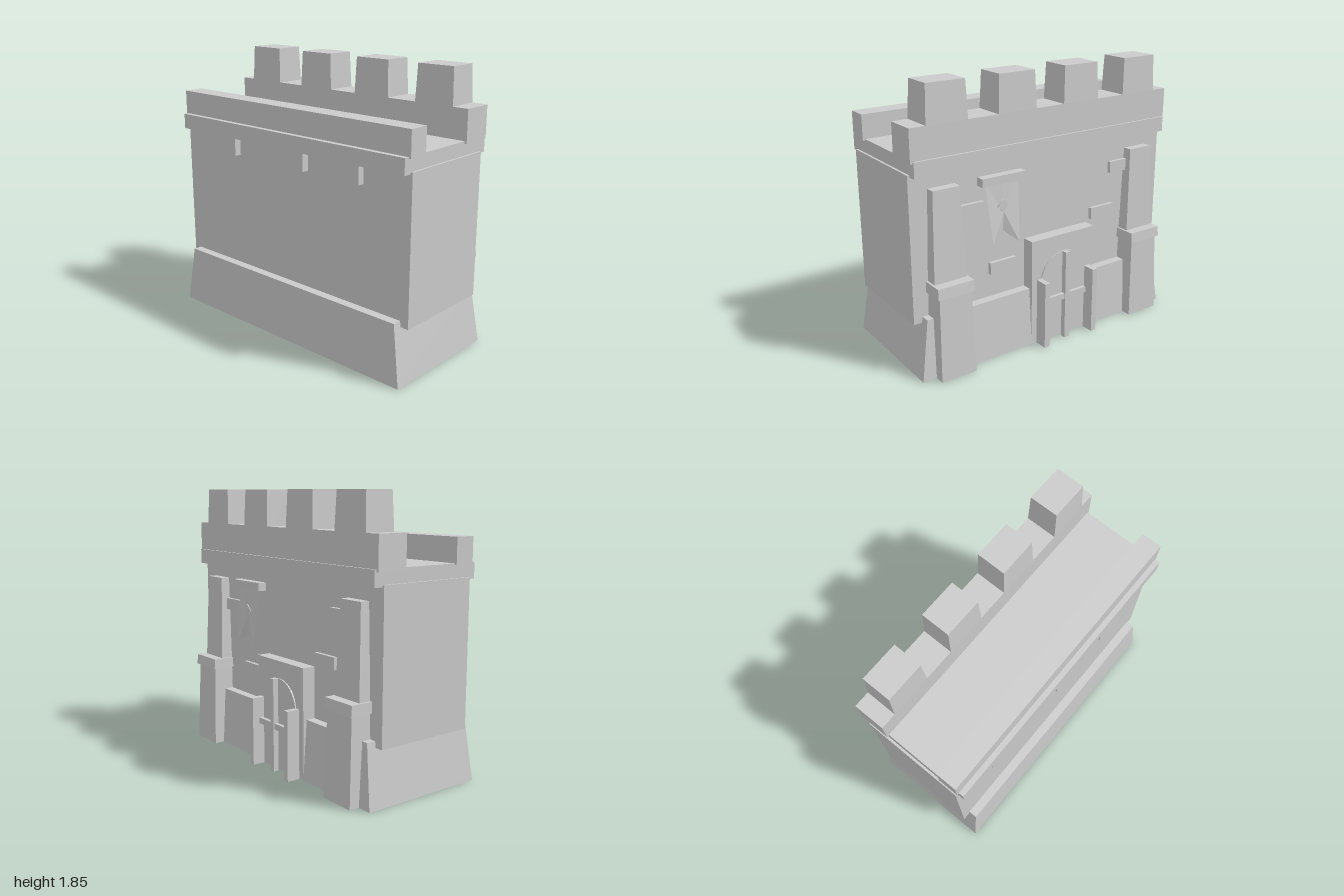
import * as THREE from 'three';

const stone = new THREE.MeshStandardMaterial({ color: 0xcacaca, side: THREE.DoubleSide });
stone.name = 'grey stone';

// Open-bottomed box spanning [min, max] on each axis; top = optional [x0, x1, z0, z1] for a tapered top.
function block(name, [x0, x1], [y0, y1], [z0, z1], top = [x0, x1, z0, z1]) {
  const g = new THREE.BoxGeometry(1, 1, 1);
  const p = g.attributes.position;
  for (let i = 0; i < p.count; i++) {
    const up = p.getY(i) > 0;
    const [a, b, c, d] = up ? top : [x0, x1, z0, z1];
    p.setXYZ(i, p.getX(i) < 0 ? a : b, up ? y1 : y0, p.getZ(i) < 0 ? c : d);
  }
  g.computeVertexNormals();
  // drop the underside
  const index = Array.from(g.index.array);
  index.splice(18, 6);
  g.setIndex(index);
  g.clearGroups();
  const mesh = new THREE.Mesh(g, stone);
  mesh.name = name;
  return mesh;
}

// Flat-shaded surface from listed triangles.
function facets(name, points, triangles) {
  const g = new THREE.BufferGeometry();
  g.setAttribute('position', new THREE.Float32BufferAttribute(triangles.flatMap((i) => points[i]), 3));
  g.computeVertexNormals();
  const mesh = new THREE.Mesh(g, stone);
  mesh.name = name;
  return mesh;
}

function createBanner() {
  const banner = new THREE.Group();
  banner.name = 'banner';
  banner.add(block('bannerRod', [0.2, 0.525], [1.17, 1.225], [-0.36, -0.3]));
  // swallow-tailed cloth, tails hanging away from the wall
  banner.add(facets('bannerCloth', [
    [0.485, 1.18, -0.325], [0.36, 1.18, -0.33], [0.235, 1.18, -0.325],
    [0.46, 0.785, -0.375], [0.36, 0.85, -0.335], [0.26, 0.765, -0.375],
    [0.36, 0.98, -0.345],
  ], [0, 1, 6, 1, 2, 6, 0, 6, 3, 6, 4, 3, 6, 2, 5, 6, 5, 4]));
  // raised diamond
  const diamond = new THREE.Mesh(new THREE.CylinderGeometry(0.042, 0.042, 0.008, 4), stone);
  diamond.rotation.x = Math.PI / 2;
  diamond.position.set(0.365, 1.02, -0.345);
  diamond.name = 'bannerDiamond';
  banner.add(diamond);
  return banner;
}

function createGate() {
  const gate = new THREE.Group();
  gate.name = 'gate';
  const cx = -0.09;
  gate.add(block('gateFrame', [cx - 0.26, cx + 0.26], [0, 0.74], [-0.389, -0.3]));
  // arched panel
  const arch = new THREE.Shape();
  arch.moveTo(-0.185, 0);
  arch.lineTo(0.185, 0);
  arch.lineTo(0.185, 0.44);
  arch.absarc(0, 0.44, 0.185, 0, Math.PI, false);
  arch.closePath();
  const panel = new THREE.Mesh(
    new THREE.ExtrudeGeometry(arch, { depth: 0.009, bevelEnabled: false, curveSegments: 8 }), stone);
  panel.position.set(cx, 0, -0.398);
  panel.name = 'gateArch';
  gate.add(panel);
  // bars and the two side posts
  const bx = cx + 0.007;
  gate.add(block('gateMullion', [bx - 0.018, bx + 0.018], [0, 0.63], [-0.45, -0.412]));
  gate.add(block('gateCrossbar', [bx - 0.165, bx + 0.165], [0.29, 0.33], [-0.443, -0.417]));
  for (const s of [-1, 1]) {
    const x = cx + s * 0.202;
    gate.add(block('gatePost', [x - 0.02, x + 0.02], [0, 0.465], [-0.486, -0.395]));
  }
  return gate;
}

function createButtress(side) {
  const buttress = new THREE.Group();
  buttress.name = side > 0 ? 'leftButtress' : 'rightButtress';
  const c = side * 0.78;
  const span = (h) => [c - h, c + h];
  buttress.add(block('buttressFoot', span(0.125), [0, 0.57], [-0.46, -0.3], [...span(0.113), -0.44, -0.3]));
  buttress.add(block('buttressCollar', span(0.13), [0.56, 0.63], [-0.458, -0.3], [...span(0.127), -0.45, -0.3]));
  buttress.add(block('buttressShaft', span(0.113), [0.62, 1.218], [-0.383, -0.3], [...span(0.093), -0.362, -0.3]));
  return buttress;
}

export function createModel() {
  const model = new THREE.Group();
  model.name = 'castleWall';

  // sloping base
  model.add(block('base', [-1, 1], [0, 0.4], [-0.39, 0.484], [-0.94, 0.94, -0.362, 0.46]));

  // wall, walkway and parapets
  model.add(block('wall', [-1, 1], [0.36, 1.32], [-0.3, 0.4]));
  model.add(block('walkway', [-0.985, 0.985], [1.307, 1.41], [-0.36, 0.455]));
  model.add(block('frontParapet', [-1, 1], [1.4, 1.57], [0.28, 0.42]));
  model.add(block('backParapet', [-1, 1], [1.395, 1.608], [-0.345, -0.133]));
  for (const x of [-0.75, -0.25, 0.25, 0.75]) {
    model.add(block('merlon', [x - 0.142, x + 0.142], [1.608, 1.85], [-0.346, -0.132],
      [x - 0.132, x + 0.132, -0.338, -0.14]));
  }

  // corbels under the front edge
  for (const x of [-0.58, 0.058, 0.515]) {
    model.add(block('corbel', [x - 0.128, x + 0.128], [1.187, 1.307], [0.4, 0.447]));
  }

  // raised bricks on the back
  for (const [x, y] of [[0.35, 0.6], [-0.48, 0.8], [0.59, 1.03], [-0.64, 1.105]]) {
    model.add(block('brick', [x - 0.1, x + 0.1], [y - 0.04, y + 0.04], [-0.325, -0.3]));
  }

  model.add(createButtress(1), createButtress(-1), createGate(), createBanner());
  return model;
}
